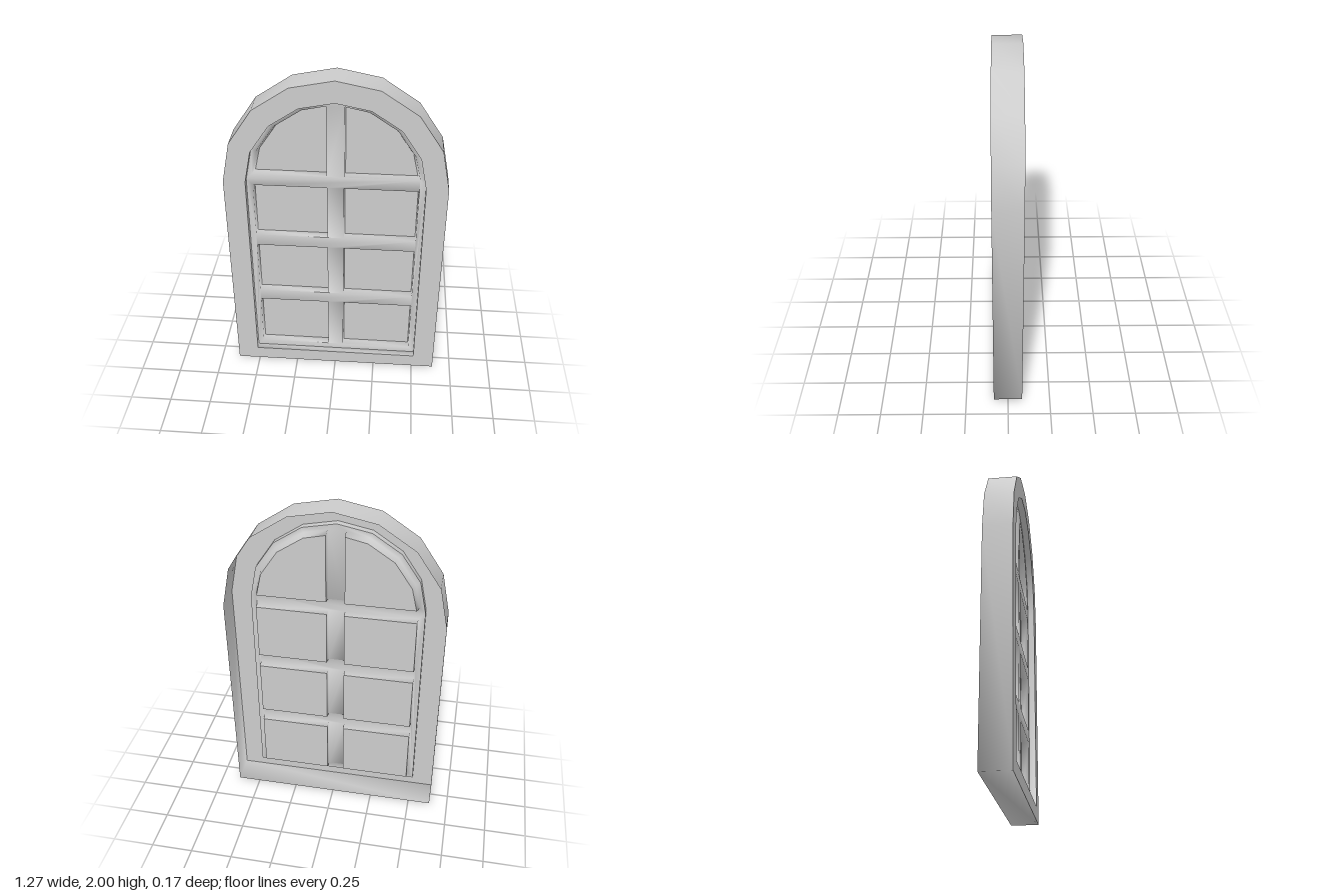
import * as THREE from 'three';
import { mergeGeometries, mergeVertices } from 'three/addons/utils/BufferGeometryUtils.js';

const SPRING = 1.363;            // height where the arch starts
const BACK = -0.085, FRONT = 0.085, SASH = 0.045, PANE = 0;

const V = (x, y) => new THREE.Vector2(x, y);

// Counter-clockwise outline of a rectangle topped by an eight-sided arch
function archLoop(radius, bottom) {
  const pts = [V(-radius, bottom), V(radius, bottom)];
  for (let i = 0; i <= 8; i++) {
    const a = (i * Math.PI) / 8;
    pts.push(V(radius * Math.cos(a), SPRING + radius * Math.sin(a)));
  }
  return pts;
}

// Opening of the right-hand column; grow widens it, arch is the radius of the curved top
function rectLoop(y0, y1, grow) {
  const x0 = 0.052 - grow, x1 = 0.47 + grow;
  return [V(x0, y0 - grow), V(x1, y0 - grow), V(x1, y1 + grow), V(x0, y1 + grow)];
}
function archedLoop(y0, radius, grow) {
  const x0 = 0.054 - grow;
  const pts = [V(x0, y0 - grow), V(radius - 0.004, y0 - grow)];
  for (let i = 1; i <= 3; i++) {
    const a = (i * Math.PI) / 8;
    pts.push(V(radius * Math.cos(a), SPRING + radius * Math.sin(a)));
  }
  pts.push(V(x0, SPRING + radius * 0.983));
  return pts;
}
const mirror = (loop) => loop.map((p) => V(-p.x, p.y)).reverse();

// Flat face with optional holes
function face(loop, z, holes = []) {
  const shape = new THREE.Shape(loop);
  shape.holes = holes.map((h) => new THREE.Path(h));
  const g = new THREE.ShapeGeometry(shape);
  g.translate(0, 0, z);
  g.deleteAttribute('uv');
  return g;
}

// Closed band from a back loop to a front loop; inward turns it towards the middle
function band(backLoop, zBack, frontLoop, zFront, inward = false) {
  const n = backLoop.length, pos = [], idx = [];
  backLoop.forEach((p) => pos.push(p.x, p.y, zBack));
  frontLoop.forEach((p) => pos.push(p.x, p.y, zFront));
  for (let i = 0; i < n; i++) {
    const j = (i + 1) % n;
    if (inward) idx.push(i, n + j, j, i, n + i, n + j);
    else idx.push(i, j, n + j, i, n + j, n + i);
  }
  const g = new THREE.BufferGeometry();
  g.setAttribute('position', new THREE.Float32BufferAttribute(pos, 3));
  g.setIndex(idx);
  g.computeVertexNormals();
  return g;
}

// Weld several surfaces and round their shading together
function weld(parts) {
  parts.forEach((g) => g.deleteAttribute('normal'));
  const g = mergeVertices(mergeGeometries(parts), 1e-4);
  g.computeVertexNormals();
  return g;
}

export function createModel() {
  const group = new THREE.Group();
  const grey = new THREE.MeshStandardMaterial({ color: 0xcccccc, side: THREE.DoubleSide });
  grey.name = 'paintedGrey';
  const add = (name, geometry) => {
    const mesh = new THREE.Mesh(geometry, grey);
    mesh.name = name;
    group.add(mesh);
  };

  // Frame: an open-backed shell of front face, outer side and inner reveal
  const outer = archLoop(0.637, 0);
  const inner = archLoop(0.51, 0.085);
  add('frameFront', face(outer, FRONT, [inner]));
  add('frameSide', band(outer, BACK, outer, FRONT));
  add('frameReveal', band(inner, SASH, inner, FRONT, true));

  // Pane outlines and the slightly wider openings in front of them
  const cells = [];
  for (const [y0, y1] of [[0.127, 0.473], [0.555, 0.897], [0.98, 1.32]]) {
    cells.push({ pane: rectLoop(y0, y1, 0), opening: rectLoop(y0, y1, 0.004) });
  }
  cells.push({ pane: archedLoop(1.402, 0.466, 0), opening: archedLoop(1.402, 0.48, 0.004) });
  for (const c of cells.slice()) {
    cells.push({ pane: mirror(c.pane), opening: mirror(c.opening) });
  }

  // Glazing bars: softly shaded lattice with walls down to the panes
  const lattice = [face(inner, SASH, cells.map((c) => c.opening))];
  for (const c of cells) lattice.push(band(c.pane, PANE, c.opening, SASH, true));
  add('glazingBars', weld(lattice));

  // Panes
  for (const c of cells) add('pane', face(c.pane, PANE));

  return group;
}
